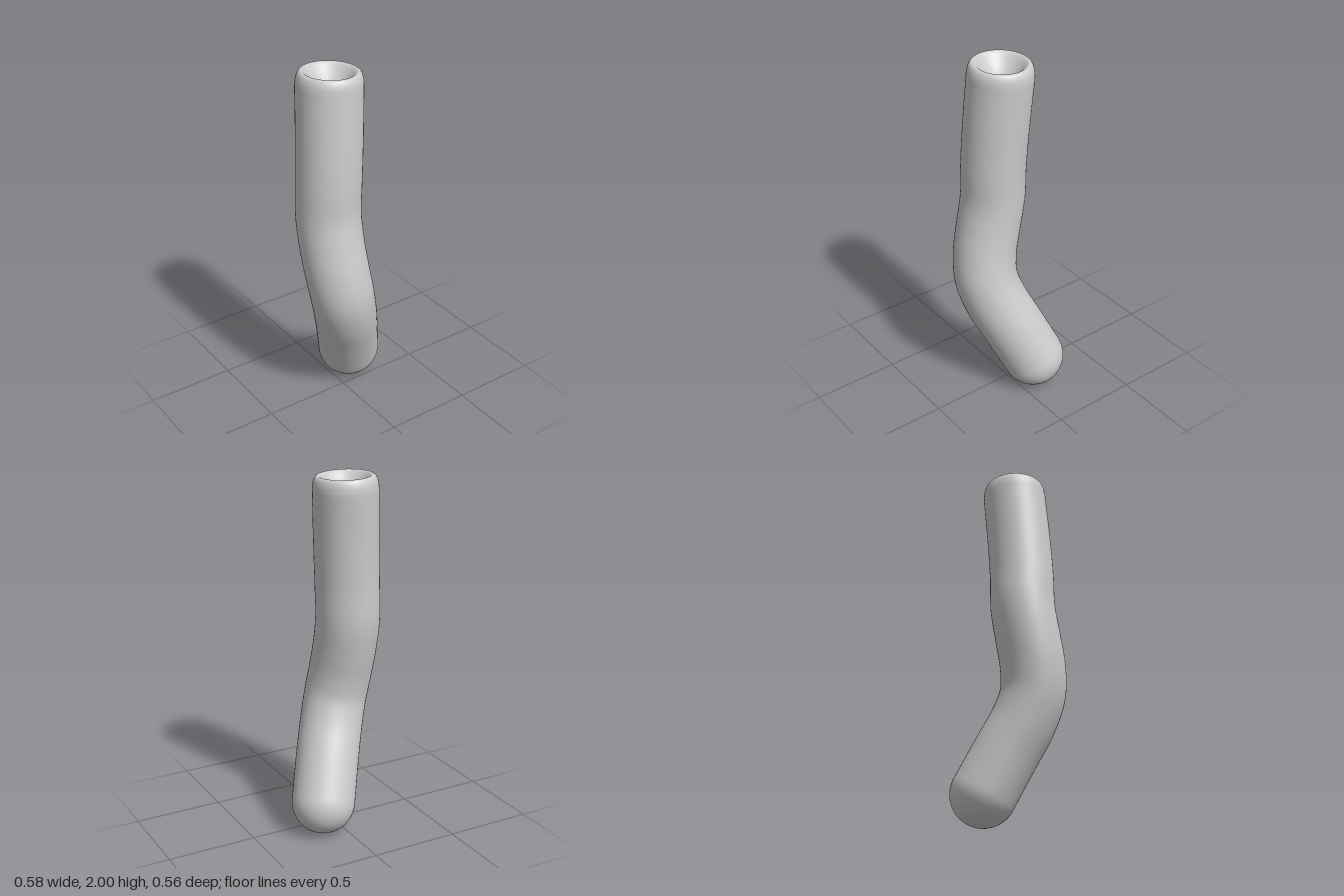
import * as THREE from 'three';

const RADIUS = 0.178;
const SIDES = 48;

export function createModel() {
  const group = new THREE.Group();
  group.name = 'bentRod';

  // Centre line, from the rounded foot up to the hollow top
  const path = new THREE.CatmullRomCurve3([
    [0.11, 0.178, -0.102], [0.033, 0.4, -0.008], [-0.03, 0.57, 0.063], [-0.075, 0.72, 0.097],
    [-0.1, 0.87, 0.084], [-0.11, 1.03, 0.05], [-0.11, 1.2, 0.02], [-0.104, 1.4, 0.017],
    [-0.091, 1.65, 0.006], [-0.077, 1.91, -0.012],
  ].map((p) => new THREE.Vector3(...p)));

  const rings = [];
  const addRing = (centre, tangent, offset, radius) =>
    rings.push({ centre: centre.clone().addScaledVector(tangent, offset), tangent, radius });

  // Hemispherical foot
  const foot = path.getPointAt(0);
  const footDir = path.getTangentAt(0);
  for (let i = 0; i < 14; i++) {
    const a = (i / 14) * Math.PI / 2;
    addRing(foot, footDir, -RADIUS * Math.cos(a), Math.max(RADIUS * Math.sin(a), 1e-4));
  }

  // Shaft
  for (let i = 0; i <= 60; i++) {
    addRing(path.getPointAt(i / 60), path.getTangentAt(i / 60), 0, RADIUS);
  }

  // Rounded rim, then the dished hollow
  const top = path.getPointAt(1);
  const topDir = new THREE.Vector3(0.04, 1, -0.01).normalize();
  const rim = new THREE.SplineCurve([
    [0.178, 0.01], [0.174, 0.045], [0.163, 0.073], [0.147, 0.083], [0.128, 0.072],
    [0.095, 0.035], [0.055, 0], [0.02, -0.018], [0.0001, -0.021],
  ].map((p) => new THREE.Vector2(...p)));
  for (const p of rim.getPoints(32)) addRing(top, topDir, p.y, Math.max(p.x, 1e-4));

  // Skin the rings, carrying one reference direction along the path
  const positions = [];
  const indices = [];
  const side = new THREE.Vector3(1, 0, 0);
  rings.forEach(({ centre, tangent, radius }, r) => {
    side.addScaledVector(tangent, -side.dot(tangent)).normalize();
    const up = new THREE.Vector3().crossVectors(tangent, side);
    for (let s = 0; s < SIDES; s++) {
      const a = (s / SIDES) * Math.PI * 2;
      const v = centre.clone()
        .addScaledVector(side, radius * Math.cos(a))
        .addScaledVector(up, radius * Math.sin(a));
      positions.push(v.x, v.y, v.z);
      if (r === 0) continue;
      const n = (s + 1) % SIDES;
      const lo = (r - 1) * SIDES;
      const hi = r * SIDES;
      indices.push(lo + s, lo + n, hi + n, lo + s, hi + n, hi + s);
    }
  });
  const geometry = new THREE.BufferGeometry();
  geometry.setAttribute('position', new THREE.Float32BufferAttribute(positions, 3));
  geometry.setIndex(indices);
  geometry.computeVertexNormals();

  const rod = new THREE.Mesh(geometry, new THREE.MeshStandardMaterial({ color: 0xcccccc }));
  rod.name = 'rod';
  group.add(rod);
  return group;
}
